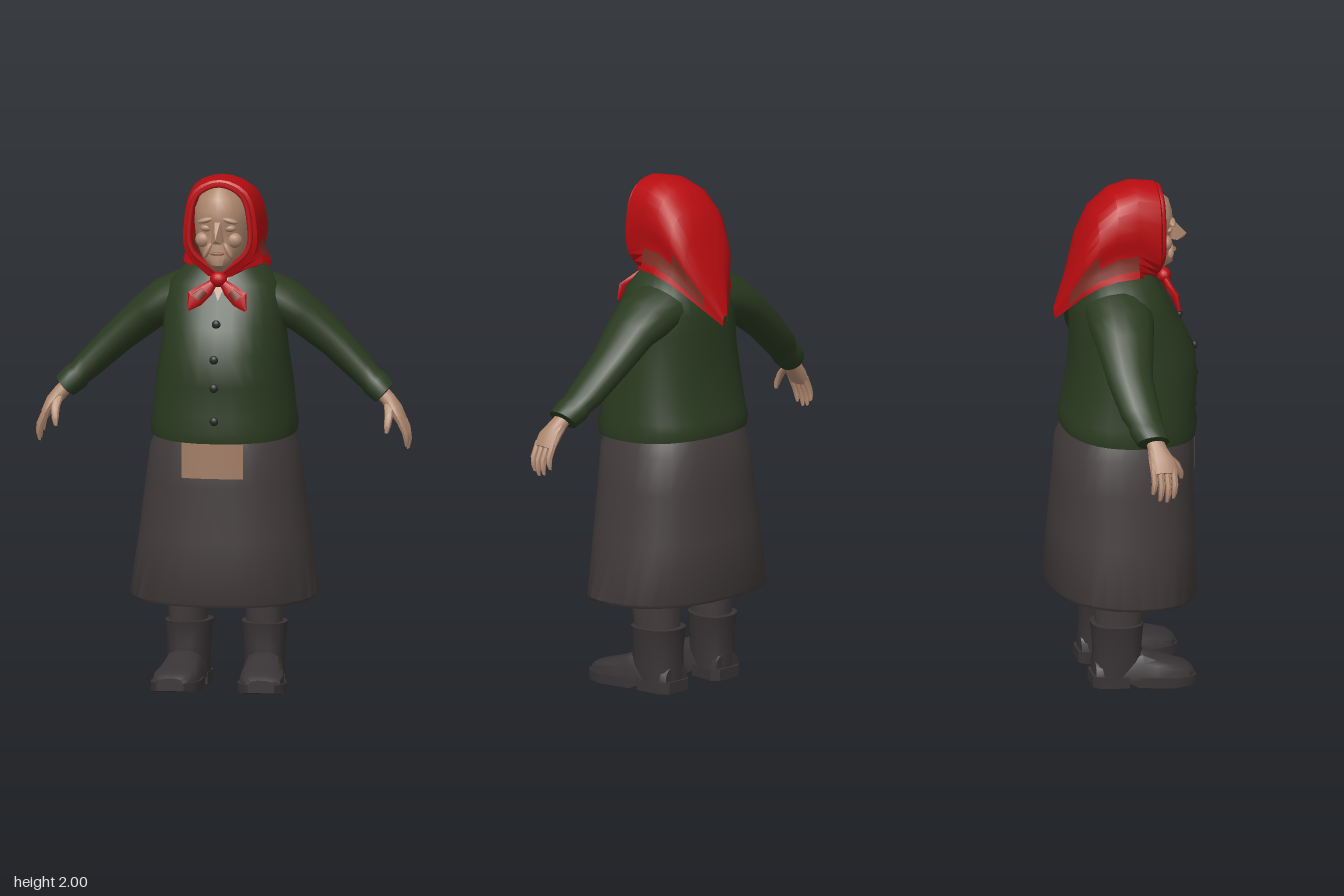
import * as THREE from 'three';
import { toCreasedNormals } from 'three/addons/utils/BufferGeometryUtils.js';
import { ConvexGeometry } from 'three/addons/geometries/ConvexGeometry.js';

const V = (x, y, z) => new THREE.Vector3(x, y, z);
const mat = (name, color, side = THREE.FrontSide) => {
  const m = new THREE.MeshStandardMaterial({ color, side });
  m.name = name;
  return m;
};
const pow = (v, e) => Math.sign(v) * Math.abs(v) ** e;

// Horizontal ring: half width, front z, back z, and lift of the back edge
function ring([y, rx, zf, zb, lift = 0], n = 32, e = 0.85) {
  return Array.from({ length: n }, (_, i) => {
    const a = (i / n) * Math.PI * 2;
    const s = pow(Math.sin(a), e);
    const z = s > 0 ? s * zf : -s * zb;
    return V(rx * pow(Math.cos(a), e), y + lift * (0.5 - z / 0.6), z);
  });
}

// Ring across a limb: radius r in the front plane, rz in depth
function limbRing([x, y, z, r, rz], dir, n) {
  return Array.from({ length: n }, (_, i) => {
    const a = (i / n) * Math.PI * 2;
    const c = Math.cos(a) * r;
    return V(x - dir[1] * c, y + dir[0] * c, z + Math.sin(a) * rz);
  });
}

// Closed skin over a row of rings, with end caps, always facing outwards
function loft(rings, crease = 0.7) {
  const n = rings[0].length;
  const pts = rings.flat();
  const centre = r => r.reduce((s, p) => s.add(p), V(0, 0, 0)).divideScalar(n);
  const last = (rings.length - 1) * n;
  const c0 = pts.push(centre(rings[0])) - 1;
  const c1 = pts.push(centre(rings[rings.length - 1])) - 1;
  const idx = [];
  for (let i = 0; i < n; i++) {
    const j = (i + 1) % n;
    for (let b = 0; b < last; b += n) idx.push(b + i, b + j, b + n + j, b + i, b + n + j, b + n + i);
    idx.push(c0, j, i, c1, last + i, last + j);
  }
  let volume = 0;
  for (let i = 0; i < idx.length; i += 3) {
    volume += pts[idx[i]].dot(V(0, 0, 0).crossVectors(pts[idx[i + 1]], pts[idx[i + 2]]));
  }
  if (volume < 0) idx.reverse();
  const g = new THREE.BufferGeometry().setFromPoints(pts);
  g.setIndex(idx);
  return toCreasedNormals(g, crease);
}

export function createModel() {
  const model = new THREE.Group();
  model.name = 'oldWoman';
  const skin = mat('skin', 0xb08970);
  const lipSkin = mat('lips', 0x94694f);
  const green = mat('greenJacket', 0x2a3a20);
  const buttonMat = mat('buttons', 0x252926);
  const grey = mat('greySkirt', 0x423b3b);
  const patchMat = mat('tanPatch', 0xa07c64);
  const bootMat = mat('boots', 0x383334);
  const red = mat('redScarf', 0xb80c10, THREE.DoubleSide);
  const trim = mat('scarfBand', 0x7c2e22, THREE.DoubleSide);

  const add = (name, geo, material, parent = model) => {
    const m = new THREE.Mesh(geo, material);
    m.name = name;
    parent.add(m);
    return m;
  };
  const blob = (name, material, pos, r, parent = model) => {
    const m = add(name, new THREE.SphereGeometry(1, 14, 10), material, parent);
    m.position.set(...pos);
    m.scale.set(...r);
    return m;
  };
  const limb = (name, rows, dir, n, material, s, parent = model) =>
    add(name, loft(rows.map(r => limbRing(r, dir, n).map(p => V(p.x * s, p.y, p.z)))), material, parent);

  // Skirt, with a hollow underside
  add('skirt', loft([
    [1.03, 0.25, 0.24, -0.22], [0.95, 0.285, 0.265, -0.255], [0.8, 0.305, 0.268, -0.265],
    [0.6, 0.33, 0.275, -0.28, 0.015], [0.355, 0.365, 0.283, -0.3, 0.035], [0.342, 0.357, 0.276, -0.293, 0.035],
    [0.36, 0.345, 0.265, -0.283, 0.035], [0.9, 0.27, 0.25, -0.24],
  ].map(r => ring(r))), grey);

  // Patch following the skirt front
  const patch = new THREE.PlaneGeometry(0.24, 0.15, 10, 1).translate(-0.01, 0.92, 0);
  const pp = patch.attributes.position;
  for (let i = 0; i < pp.count; i++) {
    pp.setZ(i, 0.274 * (1 - Math.abs(pp.getX(i) / 0.3) ** 2.35) ** 0.425);
  }
  patch.computeVertexNormals();
  add('skirtPatch', patch, patchMat);

  // Jacket body
  add('jacket', loft([
    [0.985, 0.265, 0.265, -0.225, 0.04], [0.98, 0.28, 0.28, -0.238, 0.04], [1.03, 0.283, 0.287, -0.243, 0.02],
    [1.08, 0.275, 0.278, -0.235], [1.2, 0.264, 0.288, -0.21], [1.32, 0.245, 0.28, -0.2], [1.42, 0.235, 0.235, -0.2],
    [1.5, 0.232, 0.19, -0.2], [1.58, 0.21, 0.15, -0.185], [1.64, 0.155, 0.11, -0.15], [1.67, 0.08, 0.09, -0.08],
  ].map(r => ring(r))), green);
  [[1.44, 0.226], [1.31, 0.286], [1.2, 0.288], [1.07, 0.282]].forEach(([y, z]) =>
    blob('button', buttonMat, [0, y, z], [0.017, 0.017, 0.012]));

  // Open neckline
  const neckline = new THREE.BufferGeometry().setFromPoints(
    [V(0, 1.525, 0.188), V(0.036, 1.61, 0.142), V(-0.036, 1.61, 0.142)]);
  neckline.computeVertexNormals();
  add('neckline', neckline, skin);

  // Head and face
  const head = new THREE.Group();
  head.name = 'head';
  model.add(head);
  add('face', loft([
    [1.61, 0.05, 0.12, -0.03], [1.648, 0.05, 0.172, -0.04], [1.665, 0.063, 0.2, -0.05], [1.69, 0.083, 0.202, -0.05],
    [1.74, 0.105, 0.19, -0.05], [1.8, 0.112, 0.188, -0.05], [1.83, 0.112, 0.2, -0.05], [1.87, 0.11, 0.197, -0.05],
    [1.92, 0.09, 0.183, -0.05], [1.96, 0.05, 0.14, -0.04],
  ].map(r => ring(r, 24))), skin, head);
  add('nose', new ConvexGeometry([
    V(0.012, 1.84, 0.193), V(-0.012, 1.84, 0.193), V(0, 1.82, 0.212), V(0, 1.77, 0.255), V(0, 1.755, 0.245),
    V(0.026, 1.76, 0.19), V(-0.026, 1.76, 0.19), V(0.02, 1.752, 0.215), V(-0.02, 1.752, 0.215),
  ]), skin, head);
  add('lips', new THREE.SphereGeometry(1, 12, 8), lipSkin, head);
  const lips = head.children[head.children.length - 1];
  lips.position.set(0, 1.712, 0.2);
  lips.scale.set(0.03, 0.007, 0.014);
  for (const s of [1, -1]) {
    blob('eyelid', skin, [0.045 * s, 1.808, 0.175], [0.024, 0.014, 0.015], head);
    blob('brow', skin, [0.046 * s, 1.84, 0.187], [0.034, 0.011, 0.015], head).rotation.z = -0.25 * s;
    blob('cheek', skin, [0.06 * s, 1.76, 0.16], [0.032, 0.03, 0.026], head);
    blob('mouthFold', skin, [0.04 * s, 1.722, 0.182], [0.012, 0.034, 0.015], head).rotation.z = 0.45 * s;
  }

  // Headscarf: arches from the face opening to the tip at the back
  // Each arch: top y, top z, half width, end x, end y, end z
  const arches = [
    [1.972, 0.142, 0.117, 0.012, 1.632, 0.14], [1.99, 0.13, 0.142, 0.03, 1.6, 0.125],
    [2.0, 0.04, 0.15, 0.155, 1.655, 0.04], [1.975, -0.04, 0.155, 0.172, 1.655, -0.05],
    [1.91, -0.115, 0.15, 0.16, 1.63, -0.12], [1.81, -0.165, 0.125, 0.12, 1.58, -0.18],
    [1.66, -0.21, 0.07, 0.065, 1.52, -0.22], [1.5, -0.27, 0.012, 0.01, 1.46, -0.265],
  ].map(([ty, tz, w, ex, ey, ez]) => {
    const at = (x, t) => V(x, ty + (ey - ty) * t, tz + (ez - tz) * t);
    const half = [at(ex, 1), at(w * 0.93, 0.75), at(w, 0.45), at(w * 0.74, 0.12)];
    const left = half.map(p => V(-p.x, p.y, p.z));
    return new THREE.CatmullRomCurve3([...left, at(0, 0), ...half.reverse()]);
  });
  const N = 24;
  const scarfPts = arches.flatMap(c => Array.from({ length: N + 1 }, (_, i) => c.getPoint(i / N)));
  const redIdx = [], trimIdx = [];
  for (let a = 0; a < arches.length - 1; a++) {
    for (let i = 0; i < N; i++) {
      const p = a * (N + 1) + i, q = p + N + 1;
      const fromHem = Math.min(i, N - 1 - i);
      const banded = a >= 2 && a < 6 && fromHem >= 1 && fromHem <= (a > 3 ? 4 : 2);
      (banded ? trimIdx : redIdx).push(p, p + 1, q + 1, p, q + 1, q);
    }
  }
  const scarfGeo = new THREE.BufferGeometry().setFromPoints(scarfPts);
  scarfGeo.setIndex([...redIdx, ...trimIdx]);
  scarfGeo.addGroup(0, redIdx.length, 0);
  scarfGeo.addGroup(redIdx.length, trimIdx.length, 1);
  add('headscarf', toCreasedNormals(scarfGeo, 0.5), [red, trim]);
  add('scarfRim', new THREE.TubeGeometry(arches[0], 36, 0.011, 6), red);
  blob('scarfKnot', red, [0, 1.607, 0.165], [0.034, 0.03, 0.028]);

  for (const s of [1, -1]) {
    // Scarf tails
    const down = [0.7, -0.7];
    limb('scarfTail', [[0.01, 1.603, 0.165, 0.012, 0.012], [0.045, 1.568, 0.178, 0.028, 0.014],
      [0.088, 1.535, 0.195, 0.036, 0.012], [0.112, 1.492, 0.205, 0.005, 0.005]], down, 8, red, s);
    limb('scarfTailBand', [[0.05, 1.564, 0.181, 0.02, 0.016], [0.083, 1.538, 0.195, 0.026, 0.016]], down, 8, trim, s);

    // Sleeve and cuff
    const arm = [0.74, -0.67];
    limb('sleeve', [[0.11, 1.53, -0.04, 0.11, 0.13], [0.21, 1.495, -0.045, 0.1, 0.128], [0.3, 1.447, -0.05, 0.077, 0.113],
      [0.42, 1.345, -0.055, 0.065, 0.09], [0.53, 1.24, -0.035, 0.056, 0.078], [0.565, 1.205, -0.022, 0.05, 0.067],
      [0.582, 1.19, -0.018, 0.056, 0.072], [0.622, 1.155, -0.005, 0.051, 0.063], [0.624, 1.153, -0.005, 0.035, 0.045]],
    arm, 16, green, s);

    // Hand
    const hand = new THREE.Group();
    hand.name = s > 0 ? 'leftHand' : 'rightHand';
    model.add(hand);
    limb('palm', [[0.6, 1.17, 0, 0.028, 0.034], [0.635, 1.135, 0.008, 0.029, 0.038], [0.668, 1.095, 0.02, 0.028, 0.052],
      [0.695, 1.05, 0.024, 0.02, 0.053]], [0.62, -0.78], 12, skin, s, hand);
    [0, 1, 2, 3].forEach(i => {
      const z = 0.062 - i * 0.026, len = [0.9, 1, 0.95, 0.75][i];
      limb('finger', [[0.685, 1.07, z, 0.015, 0.013], [0.685 + 0.03 * len, 1.07 - 0.065 * len, z, 0.014, 0.013],
        [0.685 + 0.036 * len, 1.07 - 0.1 * len, z - 0.004, 0.012, 0.011],
        [0.685 + 0.034 * len, 1.07 - 0.126 * len, z - 0.008, 0.006, 0.006]], [0.4, -0.92], 7, skin, s, hand);
    });
    limb('thumb', [[0.645, 1.12, 0.035, 0.02, 0.018], [0.65, 1.08, 0.075, 0.017, 0.016],
      [0.648, 1.04, 0.095, 0.014, 0.013], [0.645, 1.012, 0.1, 0.007, 0.007]], [0.1, -1], 8, skin, s, hand);

    // Leg and boot, toes turned slightly outwards
    const place = p => V(s * (0.152 + p.x + p.z * 0.1), p.y, p.z);
    const upright = rows => loft(rows.map(([y, rx, zf, zb]) =>
      ring([y, rx, (zf - zb) / 2, (zb - zf) / 2], 14).map(p => place(V(p.x, p.y, p.z + (zf + zb) / 2)))));
    const lengthwise = rows => loft(rows.map(([z, w, yb, yt]) => Array.from({ length: 14 }, (_, i) => {
      const a = (i / 14) * Math.PI * 2;
      return place(V(w * pow(Math.cos(a), 0.75), yb + (yt - yb) * Math.max(0, Math.sin(a)) ** 0.6, z));
    })));
    const flat = rows => loft(rows.map(([z, w, yb, yt]) =>
      [V(-w, yb, z), V(w, yb, z), V(w, yt, z), V(-w, yt, z)].map(place)));
    add('stocking', upright([[0.2, 0.07, 0.04, -0.13], [0.36, 0.076, 0.06, -0.14], [0.5, 0.085, 0.07, -0.14]]), grey);
    add('bootShaft', upright([[0.03, 0.078, 0.03, -0.145], [0.1, 0.08, 0.05, -0.145], [0.16, 0.082, 0.042, -0.142],
      [0.235, 0.089, 0.048, -0.15], [0.25, 0.091, 0.05, -0.153], [0.252, 0.08, 0.04, -0.142]]), bootMat);
    add('bootFoot', lengthwise([[-0.14, 0.06, 0.03, 0.1], [-0.05, 0.078, 0.03, 0.13], [0.04, 0.08, 0.03, 0.14],
      [0.09, 0.084, 0.03, 0.115], [0.16, 0.09, 0.03, 0.09], [0.215, 0.078, 0.03, 0.075], [0.238, 0.05, 0.03, 0.058]]), bootMat);
    add('bootSole', flat([[-0.03, 0.07, 0.025, 0.04], [0.02, 0.078, 0, 0.04], [0.09, 0.09, 0, 0.04],
      [0.16, 0.096, 0, 0.04], [0.215, 0.082, 0.003, 0.04], [0.245, 0.052, 0.01, 0.04]]), bootMat);
    add('bootHeel', flat([[-0.152, 0.05, 0, 0.045], [-0.125, 0.076, 0, 0.045], [-0.015, 0.08, 0, 0.045]]), bootMat);
  }
  return model;
}
